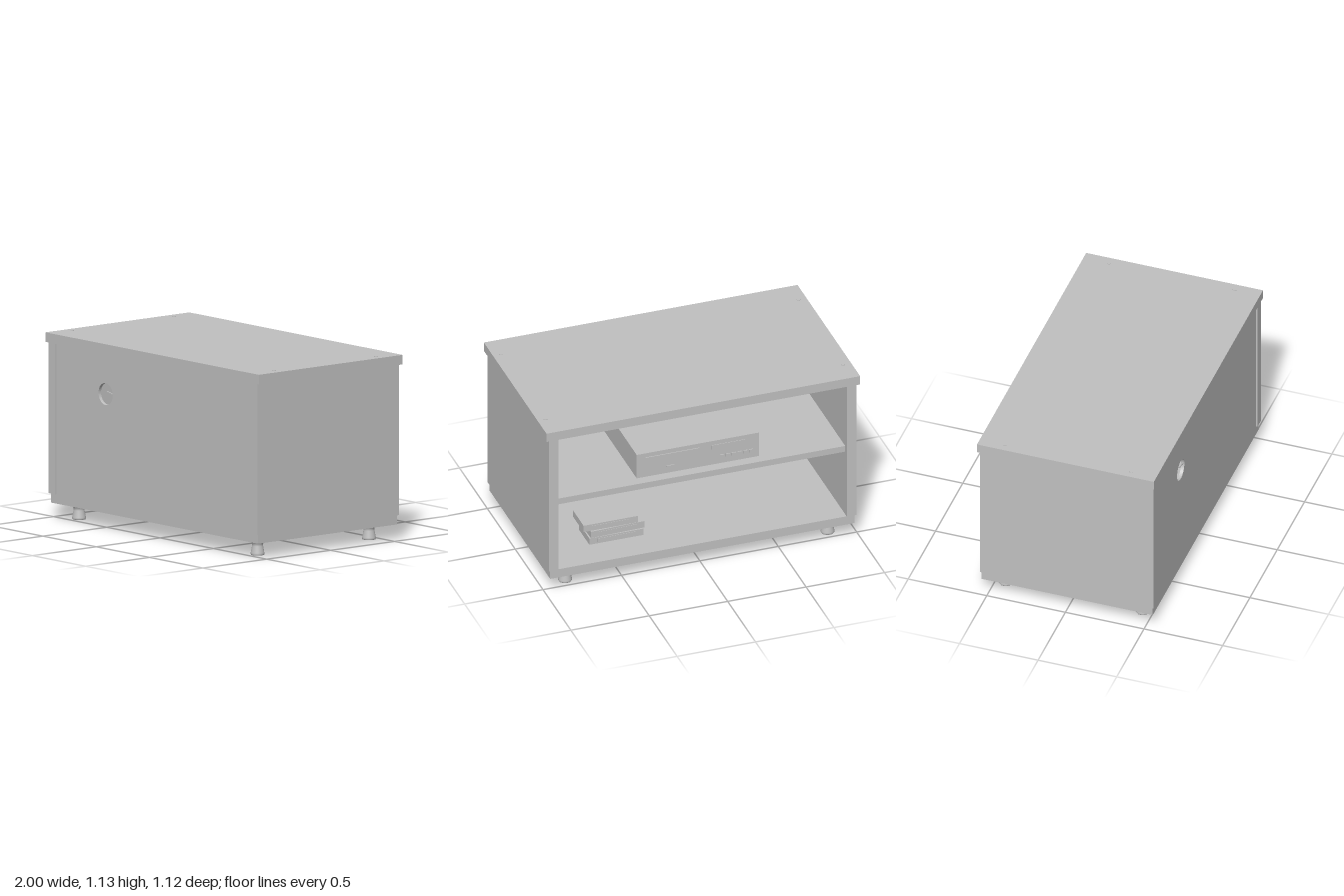
import * as THREE from 'three';

export function createModel() {
  const model = new THREE.Group();
  model.name = 'mediaCabinet';

  const grey = new THREE.MeshStandardMaterial({ color: 0xc0c0c0 });
  grey.name = 'plainGrey';

  function add(parent, name, geometry, x = 0, y = 0, z = 0) {
    const mesh = new THREE.Mesh(geometry, grey);
    mesh.name = name;
    mesh.position.set(x, y, z);
    parent.add(mesh);
    return mesh;
  }

  // Box given by its lowest and highest corners
  function slab(parent, name, [x0, y0, z0], [x1, y1, z1]) {
    return add(parent, name, new THREE.BoxGeometry(x1 - x0, y1 - y0, z1 - z0),
      (x0 + x1) / 2, (y0 + y1) / 2, (z0 + z1) / 2);
  }

  // Cabinet boards
  slab(model, 'topBoard', [-1, 1.072, -0.5625], [1, 1.13, 0.5625]);
  slab(model, 'bottomBoard', [-0.97, 0.095, -0.545], [0.97, 0.152, 0.545]);
  slab(model, 'rightSide', [-0.98, 0.152, -0.55], [-0.92, 1.072, 0.555]);
  slab(model, 'leftSide', [0.92, 0.152, -0.55], [0.98, 1.072, 0.555]);
  slab(model, 'shelf', [-0.92, 0.592, -0.52], [0.92, 0.632, 0.525]);

  // Closed panel with a round cable hole
  const panel = new THREE.Shape([
    new THREE.Vector2(-0.92, 0.152), new THREE.Vector2(0.92, 0.152),
    new THREE.Vector2(0.92, 1.072), new THREE.Vector2(-0.92, 1.072),
  ]);
  panel.holes.push(new THREE.Path().absarc(-0.457, 0.822, 0.067, 0, Math.PI * 2, true));
  add(model, 'frontPanel',
    new THREE.ExtrudeGeometry(panel, { depth: 0.02, bevelEnabled: false, curveSegments: 24 }), 0, 0, 0.525);
  const pin = add(model, 'cableHolePin', new THREE.BoxGeometry(0.07, 0.006, 0.006), -0.423, 0.83, 0.535);
  pin.rotation.z = -0.22;

  // Turned feet and top screws
  const footProfile = [
    [0, 0], [0.039, 0], [0.042, 0.005], [0.041, 0.014], [0.033, 0.055], [0.033, 0.066],
    [0.04, 0.082], [0.052, 0.086], [0.053, 0.095],
  ].map(([r, y]) => new THREE.Vector2(r, y));
  const footGeometry = new THREE.LatheGeometry(footProfile, 32);
  const screwGeometry = new THREE.CylinderGeometry(0.012, 0.012, 0.003, 16);
  for (const sx of [-1, 1]) {
    for (const sz of [-1, 1]) {
      add(model, 'foot', footGeometry, sx * 0.837, 0, sz * 0.436);
      add(model, 'topScrew', screwGeometry, sx * 0.948, 1.1315, sz * 0.4);
    }
  }

  // Disc player on the shelf, facing the open back
  const player = new THREE.Group();
  player.name = 'discPlayer';
  model.add(player);
  const face = -0.465;
  slab(player, 'playerBody', [-0.39, 0.638, face], [0.39, 0.802, 0.12]);
  slab(player, 'playerTray', [-0.01, 0.745, face - 0.006], [0.335, 0.774, face]);
  slab(player, 'playerDisplay', [-0.3, 0.745, face - 0.004], [-0.085, 0.774, face]);
  slab(player, 'playerPowerKey', [0.15, 0.68, face - 0.006], [0.2, 0.69, face]);
  for (let i = 0; i < 6; i++) {
    const x = -0.14 - i * 0.037;
    slab(player, 'playerButton', [x - 0.026, 0.678, face - 0.007], [x, 0.698, face]);
  }
  for (const x of [-0.33, 0.33]) {
    for (const z of [-0.4, 0.06]) {
      add(player, 'playerFoot', new THREE.CylinderGeometry(0.022, 0.022, 0.006, 16), x, 0.635, z);
    }
  }

  // Stack of tapes on the floor
  const tapes = [[0.475, -0.245, 0], [0.468, -0.24, 0.03], [0.508, -0.235, 0]];
  tapes.forEach(([x, z, turn], i) => {
    const tape = new THREE.Group();
    tape.name = 'tape';
    tape.position.set(x, 0.1745 + i * 0.045, z);
    tape.rotation.y = turn;
    model.add(tape);
    add(tape, 'tapeCase', new THREE.BoxGeometry(0.345, 0.044, 0.19));
    add(tape, 'tapeLabel', new THREE.BoxGeometry(0.24, 0.024, 0.003), 0, 0, -0.096);
  });

  return model;
}
